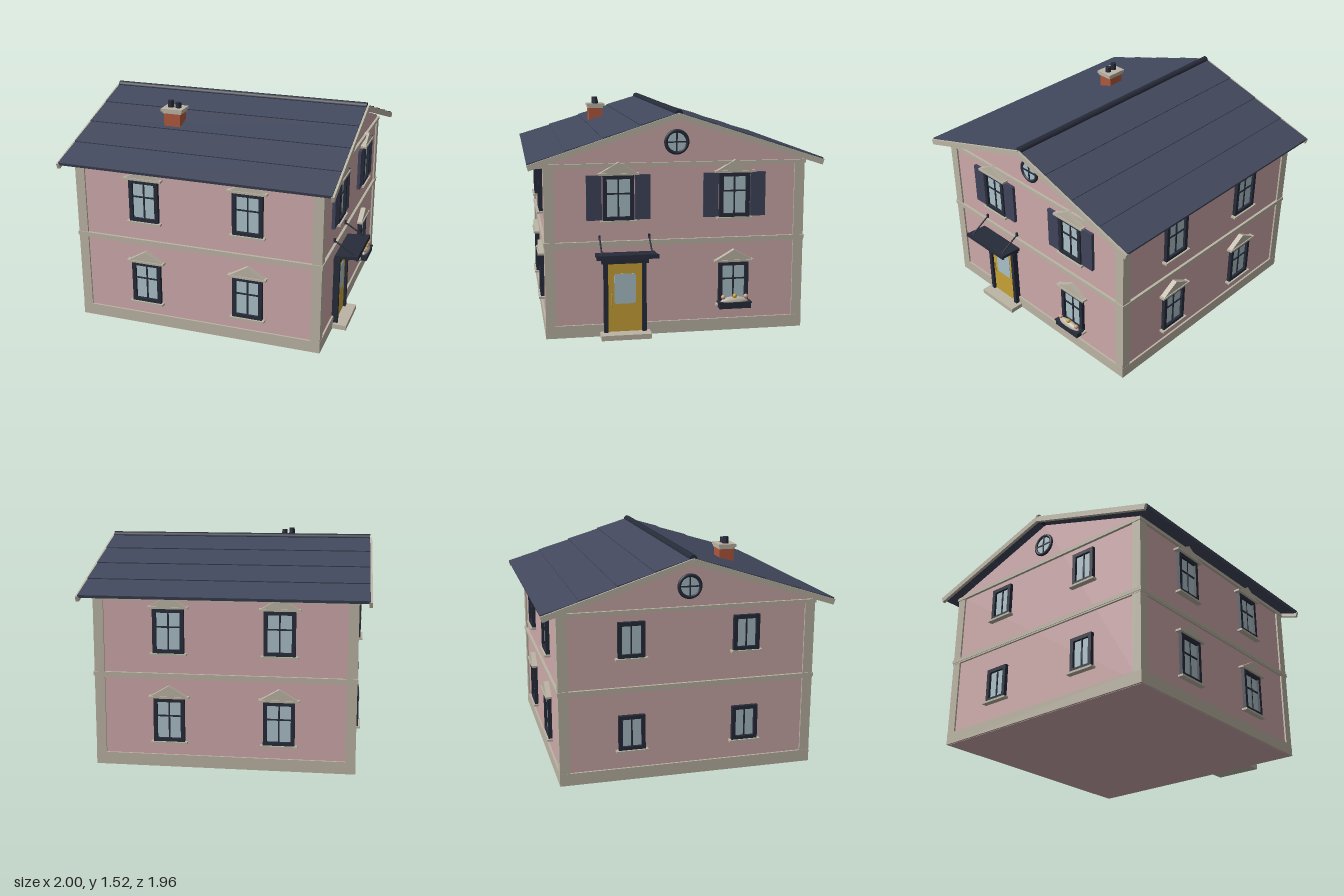
import * as THREE from 'three';

const mat = (name, color) => Object.assign(new THREE.MeshStandardMaterial({ color }), { name });

export function createModel() {
  const pink = mat('pinkWall', 0xcfaaab), stone = mat('stoneTrim', 0xbcb5a5), navy = mat('navyTrim', 0x272c3a);
  const slate = mat('slateRoof', 0x42485c), shutterBlue = mat('shutterBlue', 0x3f445a), glass = mat('glass', 0xabc1c9);
  const yellow = mat('yellowDoor', 0xc9a236), brick = mat('brick', 0xb0583f), blossom = mat('blossom', 0xc99a86);

  const house = new THREE.Group();
  house.name = 'house';
  const CX = -0.0425, X0 = -0.905, X1 = 0.82, Z = 0.86;

  const add = (parent, name, geo, material, x = 0, y = 0, z = 0) => {
    const m = new THREE.Mesh(geo, material);
    m.name = name;
    m.position.set(x, y, z);
    parent.add(m);
    return m;
  };
  const box = (parent, name, material, w, h, d, x, y, z) =>
    add(parent, name, new THREE.BoxGeometry(w, h, d), material, x, y, z);
  const group = (name, x = 0, y = 0, z = 0, ry = 0, parent = house) => {
    const g = new THREE.Group();
    g.name = name;
    g.position.set(x, y, z);
    g.rotation.y = ry;
    parent.add(g);
    return g;
  };
  const prism = (points, depth) => new THREE.ExtrudeGeometry(
    new THREE.Shape(points.map(p => new THREE.Vector2(...p))), { depth, bevelEnabled: false });

  // Walls with gables, extruded along x
  const walls = add(house, 'walls', prism([[-Z, 0], [Z, 0], [Z, 1.175], [0, 1.462], [-Z, 1.175]], X1 - X0), pink, X0);
  walls.rotation.y = Math.PI / 2;

  // Plinth, belt course and frieze
  const band = (name, y0, y1, out) =>
    box(house, name, stone, X1 - X0 + 2 * out, y1 - y0, 2 * (Z + out), CX, (y0 + y1) / 2, 0);
  band('plinth', 0.002, 0.085, 0.013);
  band('beltCourse', 0.622, 0.648, 0.018);
  band('beltFillet', 0.612, 0.622, 0.014);
  band('frieze', 1.138, 1.162, 0.018);

  // Corner boards
  for (const sx of [-1, 1]) for (const sz of [-1, 1])
    box(house, 'cornerBoard', stone, 0.068, 1.06, 0.068,
      CX + sx * (0.8625 + 0.012 - 0.034), 0.61, sz * (Z + 0.012 - 0.034));

  // Roof slopes of four overlapping courses, with bargeboards
  const RISE = 0.315, RUN = 0.97, L = Math.hypot(RISE, RUN), pitch = Math.atan2(RISE, RUN);
  for (const ry of [0, Math.PI]) {
    const side = group('roofSide', CX + 0.002, 1.468, 0, ry);
    const slope = group('roofSlope', 0, 0, 0, 0, side);
    slope.rotation.x = pitch;
    const step = L / 4;
    for (let i = 0; i < 4; i++) {
      const course = box(slope, 'roofCourse', slate, 1.887, 0.02, step + 0.012, 0, 0.014, (i + 0.5) * step - 0.006);
      course.rotation.x = -0.026;
    }
    for (const s of [-1, 1])
      box(slope, 'bargeboard', stone, 0.022, 0.038, L + 0.006, s * 0.947, 0, L / 2);
  }
  const ridge = add(house, 'ridgeCap', new THREE.CylinderGeometry(0.025, 0.025, 1.887, 12), navy, CX + 0.002, 1.485, 0);
  ridge.rotation.z = Math.PI / 2;

  // Chimney
  const chimney = group('chimney', -0.365, 0, 0.412);
  box(chimney, 'chimneyStack', brick, 0.12, 0.2, 0.105, 0, 1.35, 0);
  box(chimney, 'chimneyCollar', stone, 0.138, 0.014, 0.115, 0, 1.443, 0);
  box(chimney, 'chimneyCap', stone, 0.156, 0.02, 0.13, 0, 1.46, 0);
  for (const [x, h] of [[-0.027, 0.048], [0.028, 0.036]])
    add(chimney, 'chimneyPot', new THREE.CylinderGeometry(0.02, 0.022, h, 16), navy, x, 1.47 + h / 2, 0);

  // Window facing local +z, with its centre at the origin
  const makeWindow = (x, y, z, ry, { w = 0.21, h = 0.3, pediment = true, crossbar = true, sill = true, shutters = false } = {}) => {
    const g = group('window', x, y, z, ry), t = 0.026;
    box(g, 'pane', glass, w - t, h - t, 0.008, 0, 0, 0.004);
    for (const s of [-1, 1]) {
      box(g, 'frameSide', navy, t, h, 0.028, s * (w - t) / 2, 0, 0.012);
      box(g, 'frameRail', navy, w - 2 * t, t, 0.028, 0, s * (h - t) / 2, 0.012);
    }
    box(g, 'mullion', navy, 0.01, h - 2 * t, 0.012, 0, 0, 0.009);
    if (crossbar) box(g, 'crossbar', navy, w - 2 * t, 0.01, 0.012, 0, 0.027, 0.009);
    if (sill) box(g, 'sill', stone, w + 0.035, 0.014, 0.042, 0, -h / 2 - 0.005, 0.018);
    if (pediment) {
      box(g, 'hood', stone, w + 0.062, 0.014, 0.045, 0, h / 2 + 0.008, 0.02);
      add(g, 'pediment', prism([[-0.123, 0], [0.123, 0], [0, 0.072]], 0.036), stone, 0, h / 2 + 0.014, 0);
    }
    if (shutters) for (const s of [-1, 1]) {
      box(g, 'shutter', shutterBlue, 0.1, 0.295, 0.022, s * 0.16, 0.003, 0.011);
    }
    return g;
  };

  // Front and back windows
  for (const x of [-0.41, 0.326]) for (const y of [0.33, 0.935]) {
    makeWindow(x, y, Z, 0);
    makeWindow(x, y, -Z, Math.PI);
  }
  // Small windows on the plain gable side
  for (const z of [-0.39, 0.39]) for (const y of [0.335, 0.965])
    makeWindow(X0, y, z, -Math.PI / 2, { w: 0.18, h: 0.24, pediment: false, crossbar: false });
  // Door-side windows
  for (const z of [-0.39, 0.387])
    makeWindow(X1, 0.935, z, Math.PI / 2, { w: 0.205, shutters: true });
  makeWindow(X1, 0.335, -0.39, Math.PI / 2, { w: 0.205, h: 0.29 });

  // Round gable windows
  for (const [x, ry] of [[X1, Math.PI / 2], [X0, -Math.PI / 2]]) {
    const g = group('roundWindow', x, 1.293, 0, ry);
    const pane = add(g, 'roundPane', new THREE.CylinderGeometry(0.07, 0.07, 0.008, 32), glass, 0, 0, 0.004);
    pane.rotation.x = Math.PI / 2;
    add(g, 'roundFrame', new THREE.TorusGeometry(0.072, 0.012, 10, 36), navy, 0, 0, 0.006);
    box(g, 'roundMullion', navy, 0.009, 0.13, 0.012, 0, 0, 0.008);
    box(g, 'roundCrossbar', navy, 0.13, 0.009, 0.012, 0, 0, 0.008);
  }

  // Entrance, facing local +z
  const door = group('entrance', X1, 0, 0.348, Math.PI / 2);
  box(door, 'doorstep', stone, 0.335, 0.034, 0.11, 0, 0.017, 0.055);
  box(door, 'doorLeaf', yellow, 0.23, 0.47, 0.024, 0, 0.266, 0.012);
  for (const s of [-1, 1]) box(door, 'doorPost', navy, 0.028, 0.47, 0.042, s * 0.128, 0.268, 0.021);
  box(door, 'doorLintel', navy, 0.312, 0.03, 0.046, 0, 0.516, 0.023);
  const pw = 0.072, ph = 0.102, r = 0.018, paneShape = new THREE.Shape();
  paneShape.absarc(pw - r, ph - r, r, 0, Math.PI / 2);
  paneShape.absarc(-pw + r, ph - r, r, Math.PI / 2, Math.PI);
  paneShape.absarc(-pw + r, -ph + r, r, Math.PI, Math.PI * 1.5);
  paneShape.absarc(pw - r, -ph + r, r, Math.PI * 1.5, Math.PI * 2);
  add(door, 'doorGlass', new THREE.ExtrudeGeometry(paneShape, { depth: 0.004, bevelEnabled: false }), glass, 0, 0.327, 0.023);
  add(door, 'doorHandle', new THREE.CapsuleGeometry(0.006, 0.075, 4, 8), yellow, -0.088, 0.255, 0.036);

  // Canopy with tie rods
  const canopy = group('canopy', 0, 0.564, 0.098, 0, door);
  canopy.rotation.x = -0.08;
  box(canopy, 'canopyRoof', navy, 0.395, 0.022, 0.16, 0, 0.006, 0);
  box(canopy, 'canopyEdge', navy, 0.405, 0.028, 0.014, 0, 0.004, 0.074);
  box(canopy, 'canopySoffit', stone, 0.36, 0.006, 0.125, 0, -0.007, -0.004);
  for (const s of [-1, 1]) {
    const path = new THREE.LineCurve3(new THREE.Vector3(s * 0.164, 0.672, 0.006), new THREE.Vector3(s * 0.164, 0.58, 0.155));
    add(door, 'tieRod', new THREE.TubeGeometry(path, 1, 0.0055, 8), navy);
    box(door, 'rodPlate', navy, 0.014, 0.028, 0.012, s * 0.164, 0.674, 0.006);
  }

  // Flower box
  const planter = group('flowerBox', X1, 0.19, -0.39, Math.PI / 2);
  box(planter, 'planterTrough', navy, 0.215, 0.042, 0.06, 0, 0, 0.053);
  box(planter, 'planterRim', navy, 0.228, 0.01, 0.068, 0, 0.018, 0.053);
  add(planter, 'planterMound', new THREE.SphereGeometry(1, 20, 8, 0, Math.PI * 2, 0, Math.PI / 2), stone, 0, 0.022, 0.053)
    .scale.set(0.095, 0.034, 0.028);
  [-0.078, 0, 0.078].forEach((x, i) =>
    add(planter, 'flower', new THREE.SphereGeometry(0.016, 12, 8), i === 1 ? yellow : blossom, x, i === 1 ? 0.062 : 0.056, 0.06));

  return house;
}
